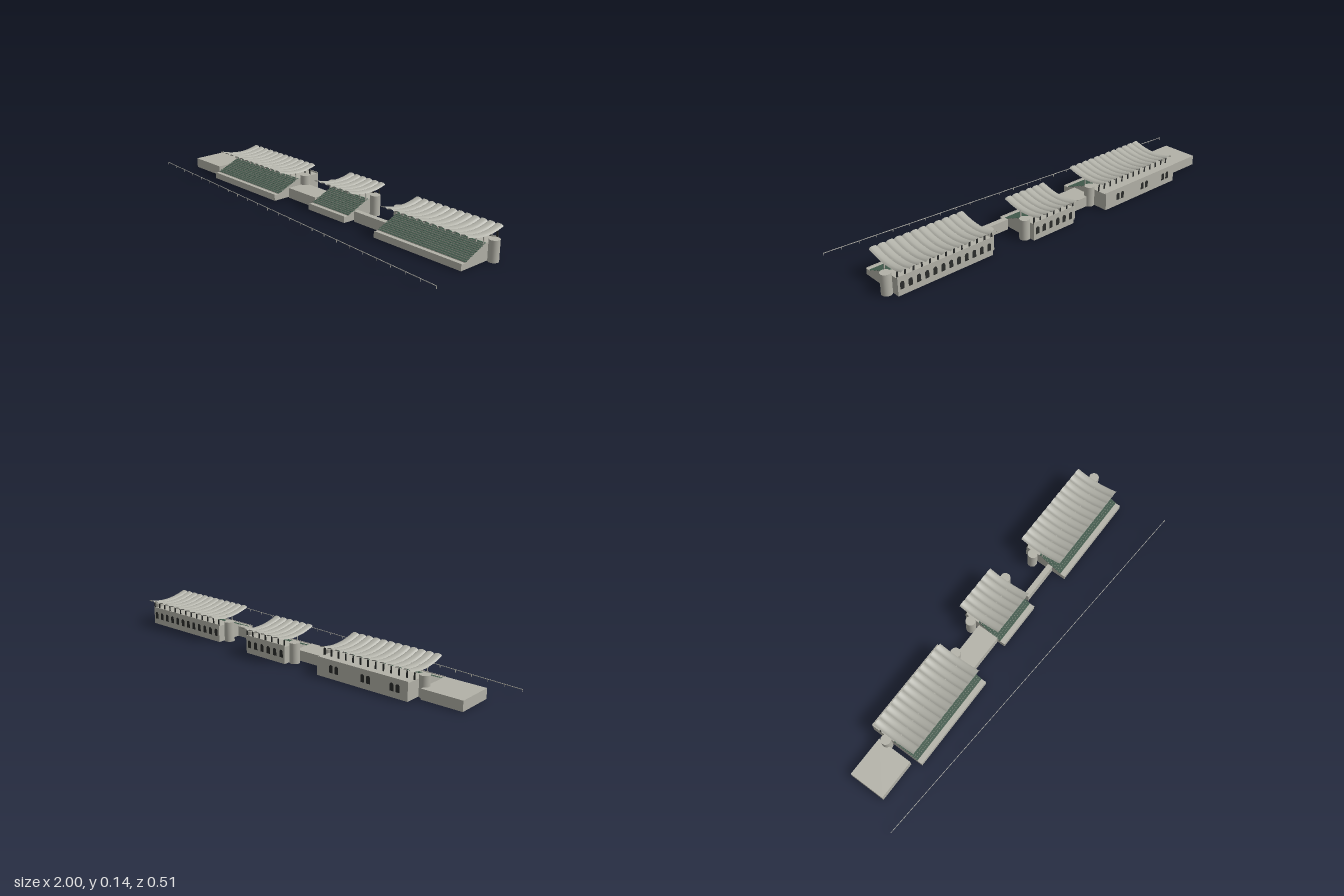
import * as THREE from 'three';

export function createModel() {
  const root = new THREE.Group();
  root.name = 'grandstands';
  const mat = (name, color, side = THREE.FrontSide) => {
    const m = new THREE.MeshStandardMaterial({ color, side });
    m.name = name;
    return m;
  };
  const concrete = mat('concrete', 0xb3b2a8);
  const roofMat = mat('roofConcrete', 0xb1b1a8, THREE.DoubleSide);
  const green = mat('greenTerrace', 0x3f584a);
  const dark = mat('darkOpening', 0x2a2c2b, THREE.DoubleSide);

  const add = (parent, name, geo, material, x = 0, y = 0, z = 0) => {
    const m = new THREE.Mesh(geo, material);
    m.name = name;
    m.position.set(x, y, z);
    parent.add(m);
    return m;
  };
  // Box given by its limits on each axis
  const block = (parent, name, x0, x1, y0, y1, z0, z1, material = concrete) =>
    add(parent, name, new THREE.BoxGeometry(x1 - x0, y1 - y0, z1 - z0), material,
      (x0 + x1) / 2, (y0 + y1) / 2, (z0 + z1) / 2);

  // Arched opening on a rear wall
  const archShape = (w, h) => {
    const s = new THREE.Shape();
    s.moveTo(-w / 2, 0);
    s.lineTo(w / 2, 0);
    s.lineTo(w / 2, h - w / 2);
    s.absarc(0, h - w / 2, w / 2, 0, Math.PI, false);
    s.closePath();
    return s;
  };
  const archGeo = new THREE.ShapeGeometry(archShape(0.02, 0.036), 8).rotateY(Math.PI);

  // One barrel vault, swept along a sagging curve from front to back
  const BAY = 0.04, ROOF_LEN = 0.225, RISE = 0.009;
  const sag = new THREE.QuadraticBezierCurve(
    new THREE.Vector2(0, 0.131), new THREE.Vector2(0.12, 0.089), new THREE.Vector2(ROOF_LEN, 0.123));
  const vaultGeo = new THREE.PlaneGeometry(BAY, 1, 8, 16);
  const p = vaultGeo.attributes.position;
  for (let i = 0; i < p.count; i++) {
    const u = p.getX(i) / (BAY / 2);
    const c = sag.getPoint(p.getY(i) + 0.5);
    p.setXYZ(i, p.getX(i), c.y + RISE * Math.sqrt(Math.max(0, 1 - u * u * 0.98)) , -c.x);
  }
  vaultGeo.computeVertexNormals();

  const STEPS = 12, RUN = 0.0105, BASE = 0.028, TOP = 0.08, APRON = 0.025;
  const RISER = (TOP - BASE) / STEPS;

  function stand(name, x0, bays, front, back, roofBack, windows) {
    const g = new THREE.Group();
    g.name = name;
    root.add(g);
    const x1 = x0 + bays * BAY;

    // Stepped body extruded along x from its side profile
    const s = new THREE.Shape();
    s.moveTo(back, 0);
    s.lineTo(front, 0);
    s.lineTo(front, BASE);
    for (let i = 0; i < STEPS; i++) {
      const z = front - APRON - i * RUN;
      s.lineTo(z, BASE + i * RISER);
      s.lineTo(z, BASE + (i + 1) * RISER);
      block(g, 'terraceTread', x0, x1, BASE + (i + 1) * RISER - 0.0005,
        BASE + (i + 1) * RISER + 0.0006, z - RUN, z, green);
    }
    s.lineTo(back, TOP);
    s.closePath();
    const body = new THREE.ExtrudeGeometry(s, { depth: x1 - x0, bevelEnabled: false });
    add(g, 'steppedBody', body.rotateY(-Math.PI / 2), concrete, x1);

    // Low walls at the front and back edges
    block(g, 'frontParapet', x0, x1, BASE, 0.031, front - 0.003, front);
    block(g, 'rearParapet', x0, x1, TOP, 0.087, back, back + 0.003);

    // Vaulted roof with its supports
    const roofFront = front - 0.035;
    for (let i = 0; i < bays; i++)
      add(g, 'roofVault', vaultGeo, roofMat, x0 + (i + 0.5) * BAY, 0, roofFront);
    for (let i = 0; i <= bays; i++) {
      const x = Math.min(Math.max(x0 + i * BAY, x0 + 0.003), x1 - 0.003);
      block(g, 'roofColumn', x - 0.002, x + 0.002, 0.06, 0.112, roofFront - 0.104, roofFront - 0.1);
      block(g, 'rearPost', x - 0.004, x + 0.004, TOP, 0.112, roofBack, roofBack + 0.002, dark);
    }

    for (const x of windows) add(g, 'archedWindow', archGeo, dark, x, 0.028, back - 0.0012);
  }

  const everyBay = (x0, n) => Array.from({ length: n }, (_, i) => x0 + (i + 0.5) * BAY);
  stand('rightStand', -0.68, 12, 0.045, -0.234, -0.185,
    [-0.28, -0.31, -0.45, -0.48, -0.6, -0.63]);
  stand('middleStand', 0, 6, 0.004, -0.224, -0.222, everyBay(0, 6));
  stand('leftStand', 0.452, 12, 0.031, -0.198, -0.196, everyBay(0.452, 12));

  // Round stair towers at the stand ends
  const towerGeo = new THREE.CylinderGeometry(0.024, 0.024, 0.097, 24);
  for (const [x, z] of [[-0.697, -0.139], [-0.186, -0.139], [-0.02, -0.178],
    [0.254, -0.178], [0.433, -0.147], [0.952, -0.147]])
    add(root, 'stairTower', towerGeo, concrete, x, 0.0485, z);

  // Low buildings joining the stands
  block(root, 'endBuilding', -0.905, -0.705, 0, 0.048, -0.178, 0.002);
  block(root, 'linkBuilding', -0.19, 0, 0, 0.05, -0.145, -0.036);
  block(root, 'linkWall', 0.255, 0.452, 0, 0.05, -0.068, -0.042);

  // Track rail running at a slight angle in front
  const rail = new THREE.Group();
  rail.name = 'trackRail';
  rail.position.set(0, 0, 0.19);
  rail.rotation.y = -Math.atan2(0.13, 2);
  root.add(rail);
  block(rail, 'railBar', -1.002, 1.002, 0.0275, 0.03, -0.001, 0.001);
  const N = 25;
  for (let i = 0; i < N; i++) {
    const x = -1 + (2 * i) / (N - 1);
    block(rail, 'railPost', x - 0.001, x + 0.001, 0.017, 0.0275, -0.001, 0.001);
  }
  return root;
}
